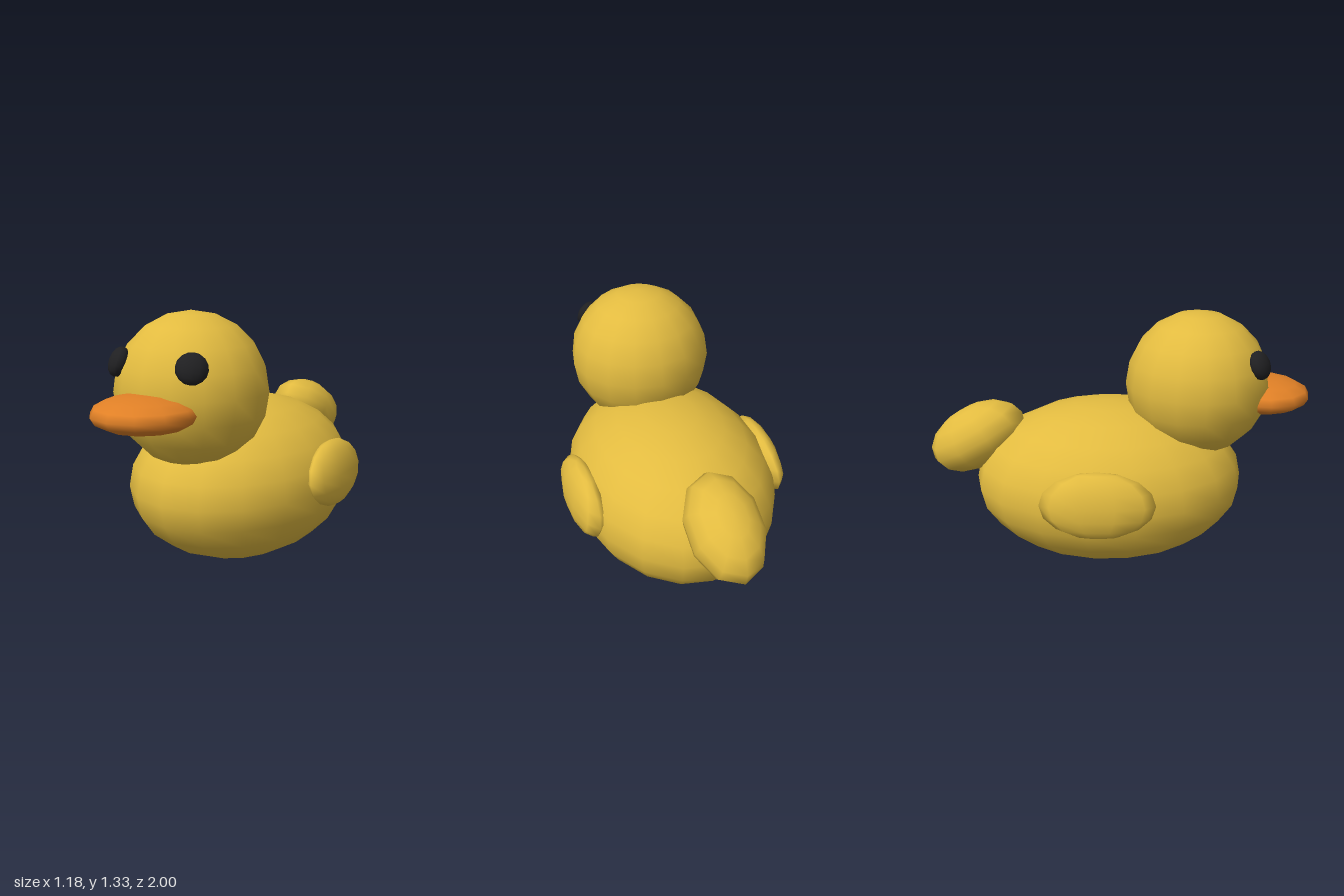
import * as THREE from 'three';

const material = (name, color) => {
  const m = new THREE.MeshStandardMaterial({ color });
  m.name = name;
  return m;
};

export function createModel() {
  const yellow = material('duck yellow', 0xe2bb40);
  const orange = material('beak orange', 0xe08026);
  const black = material('eye black', 0x202022);

  const duck = new THREE.Group();
  duck.name = 'duck';

  // A low-segment smooth ellipsoid with a vertex row facing +z/-z
  function ellipsoid(name, mat, position, radii, segments, rings) {
    const geometry = new THREE.SphereGeometry(1, segments, rings);
    geometry.rotateY(Math.PI / 2);
    geometry.scale(...radii);
    const mesh = new THREE.Mesh(geometry, mat);
    mesh.name = name;
    mesh.position.set(...position);
    duck.add(mesh);
    return mesh;
  }

  // Body and head
  ellipsoid('body', yellow, [0, 0.43, -0.05], [0.538, 0.43, 0.715], 18, 12);
  const headCentre = new THREE.Vector3(0, 0.953, 0.41);
  ellipsoid('head', yellow, headCentre.toArray(), [0.374, 0.375, 0.372], 16, 10);

  // Wide flat beak
  ellipsoid('beak', orange, [0, 0.894, 0.75], [0.25, 0.088, 0.25], 12, 8);

  // Upturned tail, tipped down towards the back
  const tail = ellipsoid('tail', yellow, [0, 0.665, -0.75], [0.185, 0.165, 0.274], 10, 8);
  tail.rotation.x = -0.5;

  for (const [side, s] of [['left', 1], ['right', -1]]) {
    // Wings lean in at the top and flare slightly at the front
    const wing = ellipsoid(side + 'Wing', yellow, [s * 0.506, 0.495, -0.115], [0.082, 0.167, 0.282], 10, 8);
    wing.rotation.set(0, s * 0.05, s * 0.15);

    // Flattened eyes lie on the head, facing outwards
    const eye = ellipsoid(side + 'Eye', black, [s * 0.21, 1.1, 0.685], [0.073, 0.073, 0.045], 12, 8);
    const outward = eye.position.clone().sub(headCentre).normalize();
    eye.quaternion.setFromUnitVectors(new THREE.Vector3(0, 0, 1), outward);
  }

  return duck;
}
